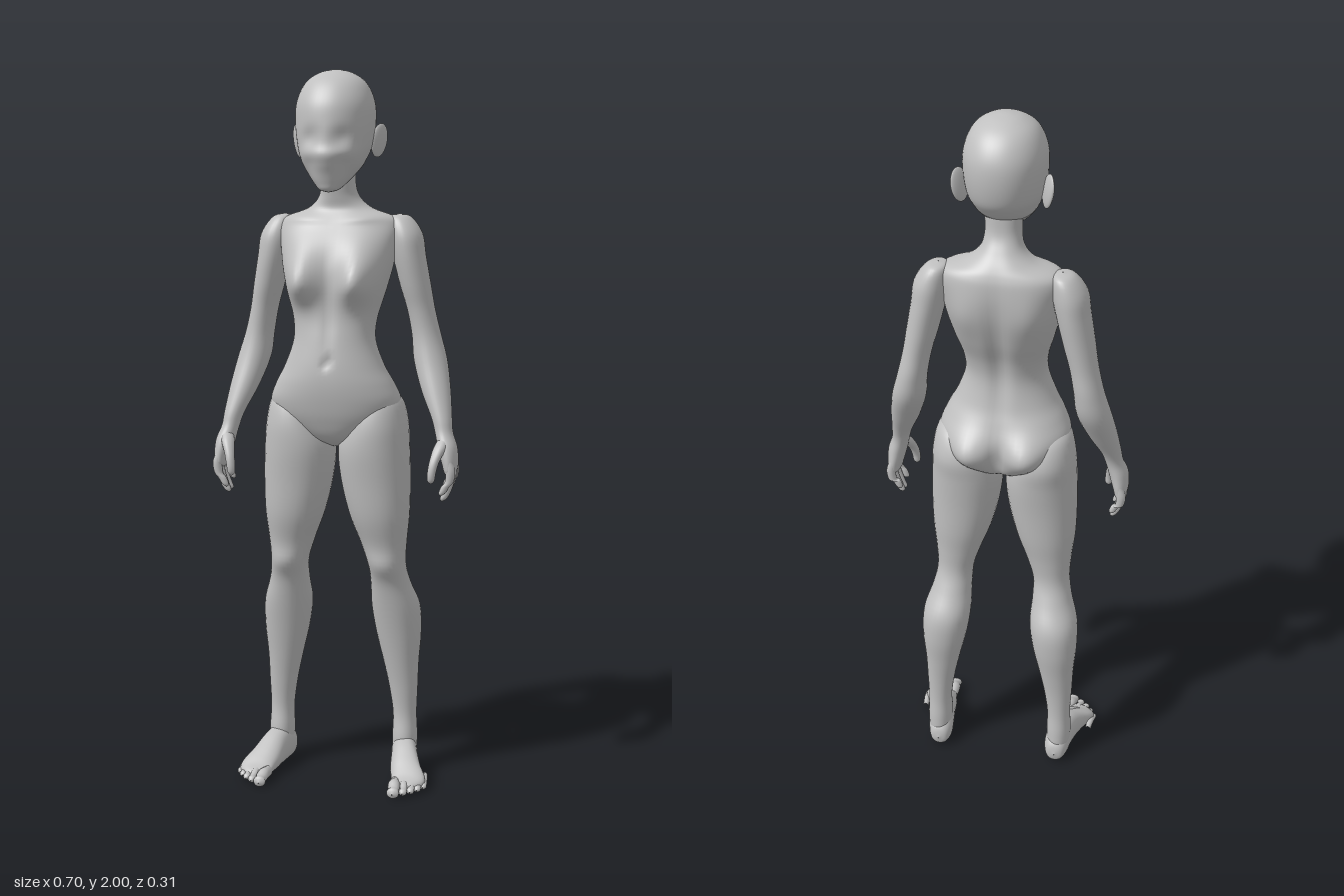
import * as THREE from 'three';

const skin = new THREE.MeshStandardMaterial({ color: 0xc0c0c0 });
skin.name = 'plain grey';

// Smooth tube through sections [x, y, z, half width, half depth]; rings lie across the given axis.
function loft(name, rows, { axis = 'y', side = 1, seg = 32, steps = 5, n = 2, shape } = {}) {
  const centre = new THREE.CatmullRomCurve3(rows.map(r => new THREE.Vector3(r[0] * side, r[1], r[2])), false, 'catmullrom', 0.5);
  const radius = new THREE.CatmullRomCurve3(rows.map(r => new THREE.Vector3(r[3], r[4], 0)), false, 'catmullrom', 0.5);
  const rings = (rows.length - 1) * steps, pos = [], index = [];
  const bend = v => Math.sign(v) * Math.pow(Math.abs(v), 2 / n);
  const first = rows[0], last = rows[rows.length - 1];
  const flip = axis === 'z' ? last[2] > first[2] : last[1] < first[1];
  for (let i = 0; i <= rings; i++) {
    const c = centre.getPoint(i / rings), r = radius.getPoint(i / rings);
    for (let j = 0; j < seg; j++) {
      const a = j / seg * Math.PI * 2;
      const u = bend(Math.cos(a)) * Math.max(r.x, 0.001), v = bend(Math.sin(a)) * Math.max(r.y, 0.001);
      const p = axis === 'z' ? new THREE.Vector3(c.x + u, c.y + v, c.z) : new THREE.Vector3(c.x + u, c.y, c.z + v);
      if (shape) shape(p, Math.sin(a));
      pos.push(p.x, p.y, p.z);
      if (i < rings) {
        const k = (j + 1) % seg, A = i * seg + j, B = i * seg + k, C = A + seg, D = B + seg;
        if (flip) index.push(A, B, C, B, D, C);
        else index.push(A, C, B, B, C, D);
      }
    }
  }
  const geo = new THREE.BufferGeometry();
  geo.setAttribute('position', new THREE.Float32BufferAttribute(pos, 3));
  geo.setIndex(index);
  geo.computeVertexNormals();
  const mesh = new THREE.Mesh(geo, skin);
  mesh.name = name;
  return mesh;
}

// Bell-shaped bump used to model soft forms
const bell = (v, c, w) => Math.exp(-(((v - c) / w) ** 2));

// Rows of [y, half width, front z, back z]
const upright = rows => rows.map(([y, w, f, b]) => [0, y, (f + b) / 2, w, (f - b) / 2]);

function shapeTorso(p, s) {
  const x = Math.abs(p.x), y = p.y;
  if (s > 0) {
    const breast = bell(x, 0.084, 0.052) * bell(y, 1.425, y > 1.425 ? 0.085 : 0.052);
    const navel = bell(x, 0, 0.01) * bell(y, 1.215, 0.014);
    const midline = bell(x, 0, 0.015) * bell(y, 1.32, 0.09);
    const collar = bell(y, 1.595 + x * 0.06, 0.012) * bell(x, 0.08, 0.06);
    p.z += Math.sqrt(s) * (0.073 * breast - 0.012 * navel - 0.005 * midline + 0.006 * collar);
  } else {
    const buttock = bell(x, 0.088, 0.066) * bell(y, 1.065, 0.065);
    const spine = bell(x, 0, 0.025) * bell(y, 1.36, 0.19);
    const cleft = bell(x, 0, 0.015) * bell(y, 1.05, 0.06);
    const blade = bell(x, 0.09, 0.045) * bell(y, 1.49, 0.07);
    p.z -= Math.sqrt(-s) * (0.056 * buttock - 0.015 * spine - 0.015 * cleft + 0.012 * blade);
  }
}

function shapeHead(p, s) {
  if (s <= 0) return;
  const x = Math.abs(p.x);
  // Shallow sockets and narrowed cheeks
  p.z -= s * 0.012 * bell(x, 0.045, 0.025) * bell(p.y, 1.815, 0.025);
  p.z -= s * 0.01 * bell(x, 0.05, 0.025) * bell(p.y, 1.745, 0.03);
}

function shapeLeg(p, s) {
  if (s > 0) p.z += s * 0.014 * bell(p.y, 0.635, 0.035);
}

function addLimbs(group, side) {
  const word = side > 0 ? 'left' : 'right';
  const add = (part, rows, opts = {}) => group.add(loft(word + part, rows, { side, ...opts }));

  add('Leg', [
    [0.118, 1.13, 0, 0.04, 0.05], [0.117, 1.1, -0.008, 0.07, 0.09], [0.113, 1.04, -0.012, 0.088, 0.112],
    [0.106, 0.97, -0.008, 0.1, 0.11], [0.111, 0.88, -0.008, 0.098, 0.1], [0.122, 0.78, -0.01, 0.085, 0.09],
    [0.133, 0.7, -0.016, 0.066, 0.074], [0.142, 0.63, -0.025, 0.053, 0.064], [0.149, 0.57, -0.045, 0.057, 0.068],
    [0.159, 0.5, -0.072, 0.069, 0.079], [0.166, 0.42, -0.083, 0.065, 0.072], [0.173, 0.33, -0.086, 0.051, 0.057],
    [0.18, 0.25, -0.088, 0.041, 0.046], [0.184, 0.17, -0.09, 0.034, 0.041], [0.185, 0.1, -0.088, 0.036, 0.048],
    [0.185, 0.05, -0.09, 0.03, 0.042], [0.185, 0.03, -0.09, 0.001, 0.001],
  ], { shape: shapeLeg, n: 2.1 });

  add('Foot', [
    [0.181, 0.038, -0.147, 0.001, 0.001], [0.181, 0.04, -0.138, 0.024, 0.03], [0.182, 0.048, -0.11, 0.036, 0.047],
    [0.187, 0.055, -0.07, 0.038, 0.055], [0.196, 0.051, -0.025, 0.04, 0.051], [0.207, 0.039, 0.02, 0.045, 0.039],
    [0.22, 0.028, 0.055, 0.049, 0.028], [0.222, 0.021, 0.08, 0.045, 0.019], [0.216, 0.018, 0.105, 0.025, 0.011],
    [0.213, 0.018, 0.112, 0.001, 0.001],
  ], { axis: 'z', n: 2.3 });

  // Toes, from the big one outwards: [x, tip z, half width]
  [[0.193, 0.155, 0.017], [0.219, 0.142, 0.011], [0.238, 0.127, 0.0105], [0.254, 0.108, 0.01], [0.267, 0.086, 0.01]]
    .forEach(([x, z, r], i) => add('Toe' + (i + 1), [
      [x - 0.006, 0.02, z - 0.08, r * 0.8, r], [x - 0.003, 0.024, z - 0.045, r, r],
      [x, 0.017, z - 0.022, r * 0.92, r * 0.85], [x, 0.015, z - 0.008, r, r * 0.85], [x, 0.014, z, 0.001, 0.001],
    ], { axis: 'z', seg: 14 }));

  add('Arm', [
    [0.163, 1.615, -0.065, 0.001, 0.001], [0.167, 1.605, -0.064, 0.03, 0.042], [0.182, 1.56, -0.06, 0.047, 0.063],
    [0.193, 1.5, -0.06, 0.046, 0.066], [0.21, 1.42, -0.064, 0.043, 0.06], [0.226, 1.35, -0.07, 0.039, 0.053],
    [0.241, 1.28, -0.073, 0.041, 0.053], [0.255, 1.21, -0.062, 0.047, 0.054], [0.276, 1.13, -0.03, 0.041, 0.045],
    [0.297, 1.06, 0, 0.029, 0.035], [0.306, 1.02, 0.012, 0.025, 0.033], [0.318, 0.98, 0.022, 0.027, 0.043],
    [0.326, 0.935, 0.024, 0.022, 0.048], [0.327, 0.91, 0.024, 0.015, 0.042], [0.327, 0.9, 0.024, 0.001, 0.001],
  ]);

  // Fingers, from the index outwards: [z, tip y]
  [[0.06, 0.85], [0.036, 0.83], [0.011, 0.834], [-0.013, 0.86]].forEach(([z, tip], i) => add('Finger' + (i + 1), [
    [0.325, 0.95, z, 0.01, 0.01], [0.332, 0.92, z, 0.0135, 0.013], [0.329, 0.89, z, 0.012, 0.0115],
    [0.318, tip + 0.025, z, 0.0115, 0.011], [0.309, tip + 0.007, z, 0.009, 0.009], [0.306, tip, z, 0.001, 0.001],
  ], { seg: 14 }));

  add('Thumb', [
    [0.312, 1.015, 0.025, 0.01, 0.012], [0.303, 0.985, 0.052, 0.018, 0.022], [0.291, 0.95, 0.078, 0.014, 0.016],
    [0.285, 0.92, 0.088, 0.012, 0.013], [0.283, 0.897, 0.089, 0.01, 0.01], [0.283, 0.887, 0.088, 0.001, 0.001],
  ], { seg: 16 });

  // Ear: a flattened shell leaning out towards the back
  const ear = new THREE.Mesh(new THREE.SphereGeometry(1, 24, 16), skin);
  ear.name = word + 'Ear';
  ear.scale.set(0.009, 0.046, 0.03);
  ear.rotation.set(-0.15, -side * 0.55, -side * 0.2);
  ear.position.set(side * 0.114, 1.812, -0.022);
  group.add(ear);
}

export function createModel() {
  const group = new THREE.Group();
  group.name = 'figure';

  group.add(loft('torso', upright([
    [0.965, 0.001, -0.01, -0.012], [0.975, 0.03, 0.03, -0.05], [1.0, 0.085, 0.08, -0.09], [1.05, 0.16, 0.106, -0.105],
    [1.1, 0.183, 0.12, -0.108], [1.15, 0.166, 0.127, -0.095], [1.2, 0.139, 0.126, -0.08], [1.27, 0.114, 0.117, -0.07],
    [1.33, 0.116, 0.107, -0.08], [1.4, 0.135, 0.098, -0.108], [1.47, 0.153, 0.092, -0.128], [1.53, 0.163, 0.075, -0.136],
    [1.58, 0.168, 0.046, -0.135], [1.607, 0.152, 0.03, -0.128], [1.63, 0.09, 0.018, -0.115], [1.66, 0.057, 0.022, -0.092],
    [1.7, 0.048, 0.03, -0.07], [1.76, 0.05, 0.035, -0.066], [1.82, 0.045, 0.03, -0.06],
  ]), { seg: 72, n: 2.25, shape: shapeTorso }));

  group.add(loft('head', upright([
    [1.672, 0.001, 0.1, 0.098], [1.678, 0.024, 0.12, 0.065], [1.695, 0.042, 0.128, 0.025], [1.72, 0.062, 0.138, -0.025],
    [1.745, 0.079, 0.15, -0.068], [1.77, 0.09, 0.158, -0.096], [1.8, 0.1, 0.15, -0.116], [1.85, 0.107, 0.147, -0.127],
    [1.9, 0.107, 0.14, -0.126], [1.94, 0.096, 0.12, -0.11], [1.97, 0.077, 0.092, -0.083], [1.99, 0.047, 0.056, -0.047],
    [1.998, 0.02, 0.024, -0.016], [2.0, 0.001, 0.004, 0.002],
  ]), { seg: 56, n: 2.1, shape: shapeHead }));

  for (const side of [1, -1]) addLimbs(group, side);
  return group;
}
